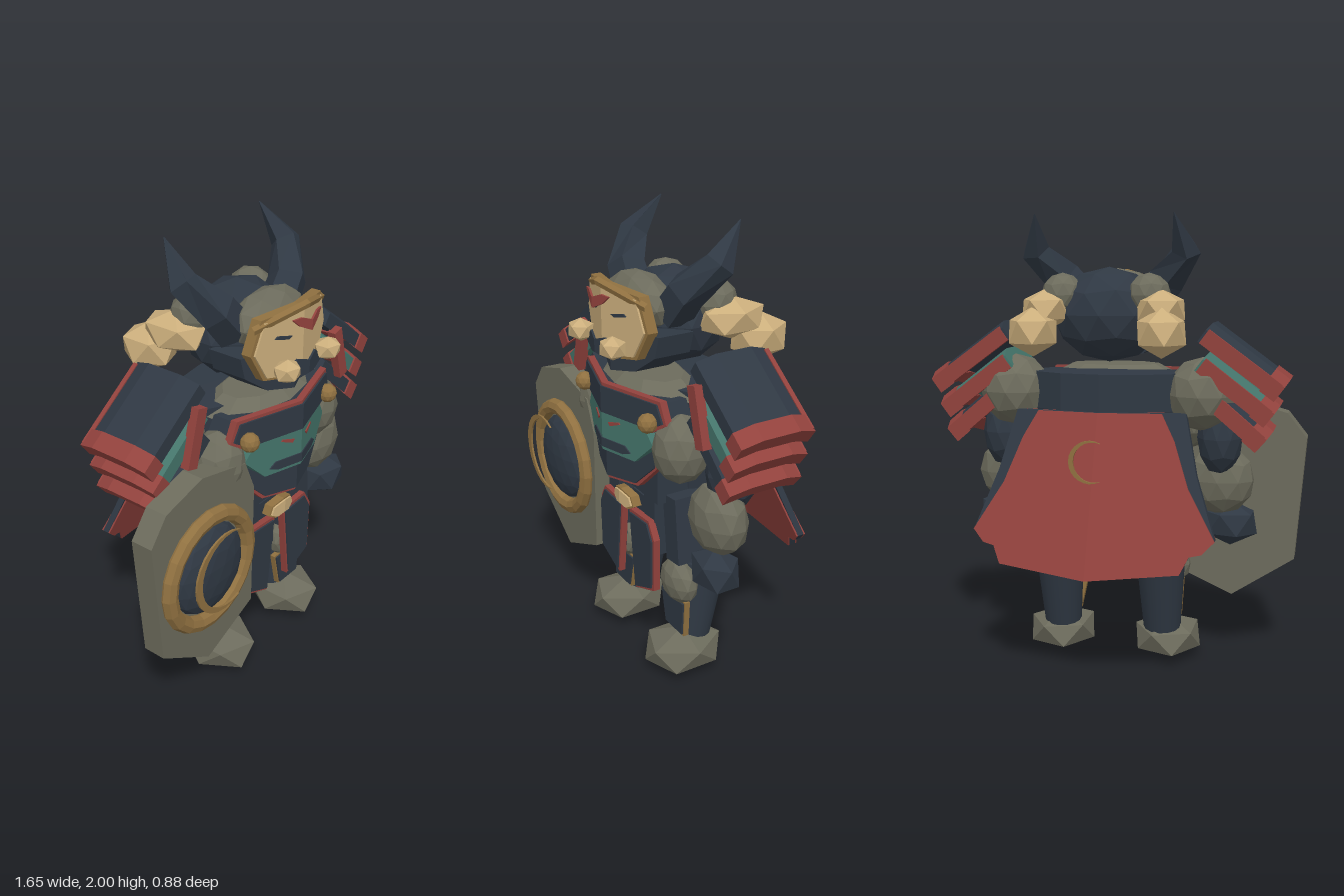
import * as THREE from 'three';

const mat = (name, color) => new THREE.MeshStandardMaterial({ name, color });

export function createModel() {
  const navy = mat('navy', 0x2f3843), red = mat('red', 0x92423d), khaki = mat('khaki', 0x6c6b5c),
    tan = mat('tan', 0xcbae7c), gold = mat('gold', 0x8f7040), teal = mat('teal', 0x44746a);
  const root = new THREE.Group();
  root.name = 'hornedWarrior';
  const body = new THREE.Group();
  body.name = 'body';
  body.position.x = 0.037;
  root.add(body);

  const flat = (g) => {
    const f = g.index ? g.toNonIndexed() : g;
    f.computeVertexNormals();
    return f;
  };
  const add = (name, geo, m, pos = [0, 0, 0], rot = [0, 0, 0], parent = body) => {
    const mesh = new THREE.Mesh(geo, m);
    mesh.name = name;
    mesh.position.set(...pos);
    mesh.rotation.set(...rot);
    parent.add(mesh);
    return mesh;
  };
  const box = (name, m, size, pos, rot) => add(name, new THREE.BoxGeometry(...size), m, pos, rot);

  // faceted ball with a vertex pointing straight up
  const ball = (name, m, detail, pos, size) => {
    const g = new THREE.IcosahedronGeometry(1, detail).rotateZ(-0.5536).scale(...size);
    return add(name, flat(g), m, pos);
  };

  // extruded plate whose front lies at z, swept back by k per unit |x| and tilted by slope
  const plate = (name, m, pts, z, depth, { k = 0, slope = 0, y0 = 0, s = 1 } = {}) => {
    const shape = new THREE.Shape(pts.map(([x, y]) => new THREE.Vector2(x * s, y)));
    const g = new THREE.ExtrudeGeometry(shape, { depth, bevelEnabled: false });
    const p = g.attributes.position;
    for (let i = 0; i < p.count; i++)
      p.setZ(i, p.getZ(i) + z - depth - k * Math.abs(p.getX(i)) + slope * (p.getY(i) - y0));
    return add(name, flat(g), m);
  };
  // enlarges an outline, keeping centre-line points on the centre line
  const grow = (pts, d) => {
    const half = pts.some((p) => p[0] === 0);
    const xs = pts.map((p) => p[0]), ys = pts.map((p) => p[1]);
    const cx = half ? 0 : (Math.min(...xs) + Math.max(...xs)) / 2, w = Math.max(...xs) - cx;
    const cy = (Math.min(...ys) + Math.max(...ys)) / 2, h = Math.max(...ys) - cy;
    return pts.map(([x, y]) => [cx + (x - cx) * (1 + d / w), cy + (y - cy) * (1 + d / h)]);
  };
  // plate with a raised border of its own depth and width d
  const trimmed = (name, m, trim, pts, z, depth, trimDepth, opt, d = 0.014) => {
    plate(name, m, pts, z, depth, opt);
    plate(name + 'Trim', trim, grow(pts, d), z - 0.008, trimDepth, opt);
  };

  // arched slab running along x, from x0 to x1, with half width w along z
  const arch = (x0, x1, w, thick) => {
    const top = [[-w, -0.02], [-w * 0.5, 0.012], [w * 0.5, 0.012], [w, -0.02]];
    const under = top.map(([z, y]) => [z, y - thick]).reverse();
    const shape = new THREE.Shape([...top, ...under].map(([z, y]) => new THREE.Vector2(z, y + thick / 2)));
    const g = new THREE.ExtrudeGeometry(shape, { depth: x1 - x0, bevelEnabled: false });
    return flat(g.rotateY(Math.PI / 2).translate(x0, 0, 0));
  };

  // tapered five-sided horn along a few stations [x, y, z, radius]
  const horn = (stations) => {
    const N = 5, pos = [], idx = [];
    const pt = (a) => new THREE.Vector3(a[0], a[1], a[2]);
    stations.forEach((st, i) => {
      const t = pt(stations[Math.min(i + 1, stations.length - 1)]).sub(pt(stations[Math.max(i - 1, 0)])).normalize();
      const u = new THREE.Vector3(0, 0, 1).cross(t).normalize(), v = t.clone().cross(u);
      for (let j = 0; j < N; j++) {
        const a = (j / N) * Math.PI * 2;
        pos.push(...pt(st).addScaledVector(u, Math.cos(a) * st[3]).addScaledVector(v, Math.sin(a) * st[3]).toArray());
      }
    });
    for (let i = 0; i < stations.length - 1; i++)
      for (let j = 0; j < N; j++) {
        const a = i * N + j, b = i * N + (j + 1) % N;
        idx.push(a, b, b + N, a, b + N, a + N);
      }
    const g = new THREE.BufferGeometry();
    g.setAttribute('position', new THREE.Float32BufferAttribute(pos, 3));
    g.setIndex(idx);
    return flat(g);
  };

  // thin crescent, open towards +x
  const crescent = (r, w) => {
    const pts = [], n = 16, a0 = 1.05, a1 = 5.2;
    for (let i = 0; i <= n; i++) { const a = a0 + (a1 - a0) * i / n; pts.push(new THREE.Vector2(r * Math.cos(a), r * Math.sin(a))); }
    for (let i = n - 1; i > 0; i--) {
      const a = a0 + (a1 - a0) * i / n, q = r - w * Math.sin(Math.PI * i / n);
      pts.push(new THREE.Vector2(q * Math.cos(a), q * Math.sin(a)));
    }
    return new THREE.ExtrudeGeometry(new THREE.Shape(pts), { depth: 0.009, bevelEnabled: false });
  };

  // torso and flared skirt
  const profile = [[0, 0.68], [0.31, 0.63], [0.27, 0.87], [0.29, 1.0], [0.35, 1.17], [0.35, 1.33], [0, 1.34]];
  const torso = new THREE.LatheGeometry(profile.map((p) => new THREE.Vector2(...p)), 12).scale(1, 1, 0.55);
  add('torso', flat(torso), navy, [0, 0, 0.015]);
  add('collar', flat(new THREE.CylinderGeometry(0.2, 0.32, 0.06, 10).scale(1, 1, 0.6)), khaki, [0, 1.325, 0.14]);
  box('abdomen', navy, [0.46, 0.24, 0.16], [0, 0.95, 0.16]);
  box('loinCloth', navy, [0.11, 0.26, 0.06], [0, 0.65, 0.17]);
  const buckle = [[0, 0.815], [0.06, 0.8], [0.075, 0.765], [0.04, 0.745], [0, 0.755]];

  // head
  ball('helmet', navy, 1, [0, 1.575, 0.02], [0.25, 0.205, 0.2]);
  ball('brow', khaki, 1, [0, 1.655, 0.185], [0.21, 0.12, 0.11]);
  const brim = new THREE.CatmullRomCurve3([[-0.23, 1.69, 0.28], [0, 1.755, 0.37], [0.23, 1.69, 0.28]].map((p) => new THREE.Vector3(...p)), false, 'catmullrom', 0);
  add('browBand', flat(new THREE.TubeGeometry(brim, 8, 0.018, 5)), gold);

  // shield with ring, boss and crescent
  const shield = [[-0.56, 1.2], [-0.29, 1.14], [-0.23, 1.0], [-0.24, 0.42], [-0.535, 0.29], [-0.815, 0.475], [-0.857, 1.03], [-0.77, 1.14]];
  plate('shield', khaki, shield, 0.3, 0.1);
  add('shieldRing', flat(new THREE.TorusGeometry(0.245, 0.037, 8, 20)), gold, [-0.537, 0.765, 0.31]);
  ball('shieldBoss', navy, 2, [-0.537, 0.765, 0.3], [0.205, 0.205, 0.075]);
  add('shieldCrescent', crescent(0.18, 0.035), gold, [-0.55, 0.805, 0.4]);
  add('capeCrescent', crescent(0.09, 0.02), gold, [-0.01, 0.99, -0.37], [0, Math.PI, 0]);

  for (const s of [1, -1]) {
    const side = s > 0 ? 'left' : 'right';
    const n = (part) => side + part;

    // boots, legs, knees and greaves
    ball(n('Boot'), khaki, 0, [s * 0.252, 0.1, 0.13], [0.168, 0.1, 0.195]);
    add(n('Shin'), new THREE.CylinderGeometry(0.112, 0.085, 0.36, 14), navy, [s * 0.235, 0.34, 0.045], [-0.15, 0, 0]);
    add(n('Thigh'), new THREE.CylinderGeometry(0.13, 0.115, 0.28, 14), navy, [s * 0.2, 0.64, -0.01], [-0.15, 0, s * 0.08]);
    ball(n('Knee'), khaki, 1, [s * 0.24, 0.44, 0.14], [0.115, 0.105, 0.07]);
    trimmed(n('Greave'), navy, gold, [[0.135, 0.36], [0.315, 0.36], [0.305, 0.2], [0.17, 0.2]], 0.168, 0.02, 0.025, { s }, 0.008);

    // skirt plates and tassets
    box(n('HipPlate'), navy, [0.09, 0.3, 0.08], [s * 0.16, 0.72, 0.2]);
    box(n('OuterHipPlate'), navy, [0.1, 0.3, 0.16], [s * 0.27, 0.72, 0.12], [0, 0, s * 0.1]);
    trimmed(n('Tasset'), navy, red, [[0.045, 0.72], [0.19, 0.73], [0.23, 0.66], [0.225, 0.43], [0.085, 0.37]], 0.275, 0.045, 0.03, { s });
    trimmed(n('Buckle'), tan, gold, buckle, 0.3, 0.05, 0.04, { s, k: 0.2 }, 0.008);

    // layered breastplate
    trimmed(n('Breastplate'), navy, red, [[0, 1.315], [0.3, 1.315], [0.33, 1.24], [0.26, 1.2], [0, 1.2]], 0.375, 0.14, 0.03, { s, k: 0.3 });
    plate(n('BellyPlate'), teal, [[0, 1.2], [0.23, 1.2], [0.28, 1.13], [0.18, 1.03], [0, 1.03]], 0.372, 0.12, { s, k: 0.3 });
    plate(n('BellySlit'), navy, [[0, 1.085], [0.13, 1.085], [0.16, 1.06], [0.12, 1.045], [0, 1.045]], 0.377, 0.008, { s, k: 0.3 });
    plate(n('BellyMark'), red, [[0.04, 1.165], [0.1, 1.18], [0.105, 1.172], [0.05, 1.15]], 0.377, 0.008, { s, k: 0.3 });
    trimmed(n('WaistPlate'), navy, red, [[0, 1.04], [0.2, 1.05], [0.285, 1.12], [0.26, 1.02], [0.16, 0.92], [0, 0.905]], 0.355, 0.12, 0.03, { s, k: 0.3 });
    ball(n('ChestStud'), gold, 1, [s * 0.277, 1.235, 0.31], [0.042, 0.042, 0.042]);
    ball(n('Flank'), khaki, 1, [s * 0.335, 1.12, 0.19], [0.12, 0.15, 0.12]);

    // arm
    ball(n('Shoulder'), khaki, 1, [s * 0.42, 1.24, -0.01], [0.16, 0.16, 0.16]);
    ball(n('UpperArm'), navy, 1, [s * 0.49, 1.05, 0.04], [0.1, 0.17, 0.12]);
    ball(n('Forearm'), khaki, 1, [s * 0.485, 0.85, 0.105], [0.155, 0.16, 0.11]);
    ball(n('Hand'), navy, 0, [s * 0.53, 0.645, 0.145], [0.135, 0.105, 0.1]);

    // overlapping arched shoulder plates with red ends and rear edges
    const tiers = [[0.6, 1.395, 0.63, 0.4, navy], [0.575, 1.28, 0.65, 0.37, teal], [0.555, 1.175, 0.7, 0.36, navy]];
    tiers.forEach(([x, y, a, len, m], i) => {
      const g = new THREE.Group();
      g.name = n('ShoulderPlate' + (i + 1));
      g.position.set(s * x, y, 0.035);
      g.rotation.z = -s * a;
      body.add(g);
      const end = s * (len / 2 - 0.035);
      add('plate', arch(-len / 2, len / 2, 0.16, 0.06), m, [0, 0, 0], [0, 0, 0], g);
      add('plateEnd', arch(end - 0.038, end + 0.038, 0.168, 0.074), red, [0, 0, 0], [0, 0, 0], g);
      add('plateRearEdge', new THREE.BoxGeometry(len * 0.95, 0.07, 0.02), red, [0, -0.015, -0.158], [0, 0, 0], g);
    });
    box(n('ShoulderFlap'), red, [0.055, 0.25, 0.04], [s * 0.5, 1.32, 0.21], [0, 0, s * 0.27]);

    // face mask and chin guard
    const face = { s, k: 0.26 };
    trimmed(n('Face'), tan, gold, [[0, 1.73], [0.19, 1.715], [0.235, 1.59], [0.175, 1.48], [0, 1.45]], 0.36, 0.03, 0.045, face);
    plate(n('ChinGuard'), navy, [[0, 1.375], [0.13, 1.4], [0.235, 1.48], [0.255, 1.57], [0, 1.57]], 0.325, 0.16, { s, k: 0.32 });
    plate(n('Eye'), navy, [[0.06, 1.632], [0.13, 1.648], [0.145, 1.638], [0.08, 1.622]], 0.366, 0.008, face);
    plate(n('Moustache'), navy, [[0, 1.52], [0.06, 1.54], [0.145, 1.475], [0.05, 1.455], [0, 1.465]], 0.395, 0.009, face);
    plate(n('ForeheadMark'), red, [[0, 1.695], [0.05, 1.715], [0.095, 1.712], [0.06, 1.68], [0, 1.65]], 0.4, 0.009, face);
    ball(n('Cheek'), tan, 0, [s * 0.14, 1.52, 0.385], [0.065, 0.05, 0.058]);

    // horns and hair
    add(n('Horn'), horn([[s * 0.15, 1.63, 0.12, 0.09], [s * 0.235, 1.73, 0.11, 0.085], [s * 0.335, 1.85, 0.02, 0.065], [s * 0.3, 2.0, -0.095, 0.002]]), navy);
    ball(n('HairRoot'), khaki, 1, [s * 0.19, 1.66, -0.05], [0.095, 0.095, 0.1]);
    ball(n('HairBun'), tan, 0, [s * 0.25, 1.6, -0.095], [0.115, 0.09, 0.16]);
    ball(n('HairTail'), tan, 0, [s * 0.275, 1.51, -0.215], [0.115, 0.105, 0.135]);

    // cape: dark core faced with red on both sides
    const fold = { s, k: -0.12, slope: 0.36, y0: 1.17 };
    const hem = [[0.52, 0.67], [0.47, 0.62], [0.42, 0.61], [0.385, 0.54], [0, 0.505]];
    plate(n('CapeCore'), navy, [[0, 1.17], [0.37, 1.17], [0.43, 0.92], ...hem], -0.165, 0.03, fold);
    plate(n('CapeBack'), red, [[0, 1.17], [0.27, 1.17], [0.33, 1.06], [0.4, 0.87], ...hem], -0.195, 0.008, fold);
    plate(n('CapeLining'), red, [[0, 1.17], [0.34, 1.17], [0.41, 0.92], ...hem], -0.157, 0.008, fold);
  }
  return root;
}
